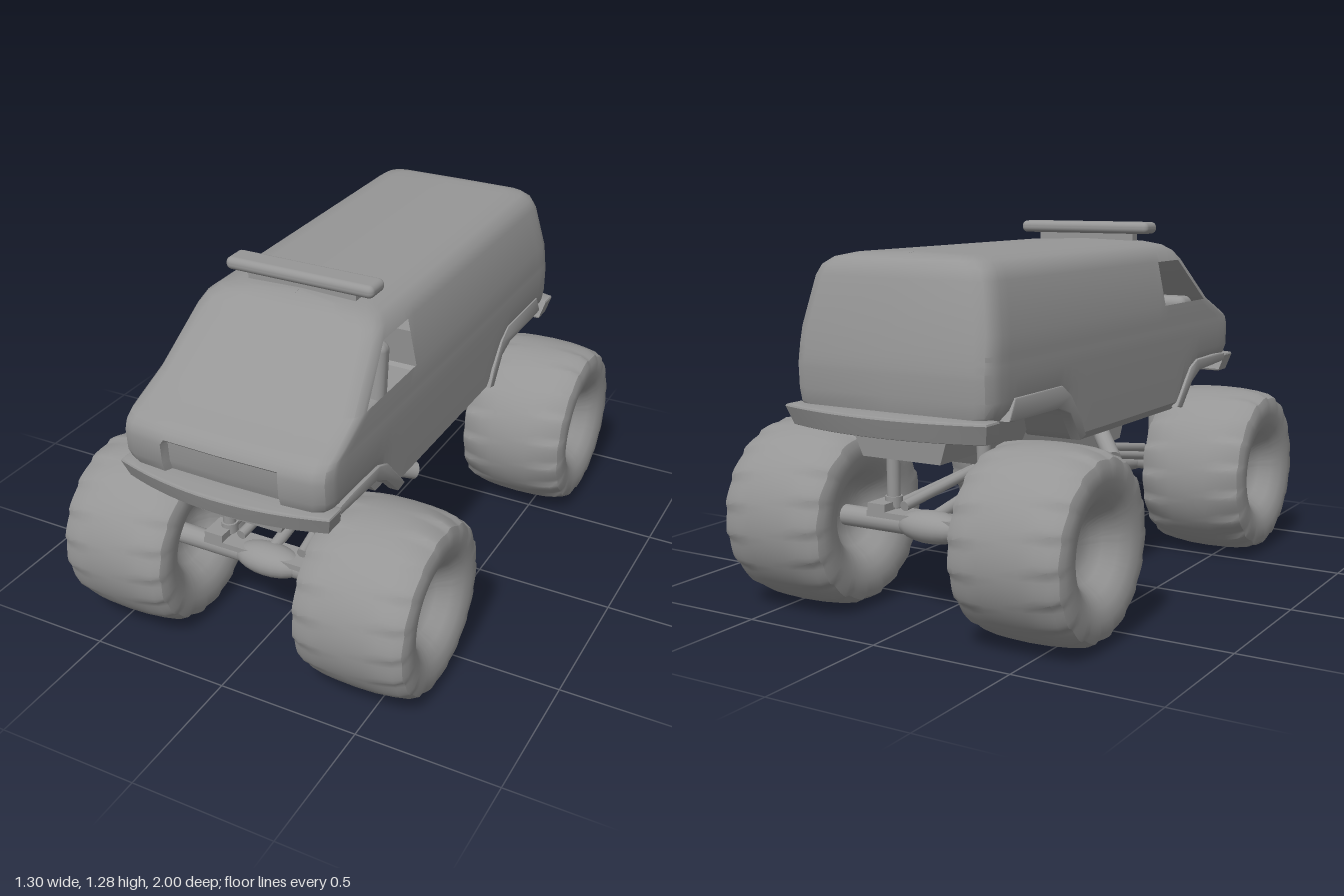
import * as THREE from 'three';
import { toCreasedNormals } from 'three/addons/utils/BufferGeometryUtils.js';
import { RoundedBoxGeometry } from 'three/addons/geometries/RoundedBoxGeometry.js';

const PAINT = 0x969696;
const grey = new THREE.MeshStandardMaterial({ color: PAINT });
const greyDouble = new THREE.MeshStandardMaterial({ color: PAINT, side: THREE.DoubleSide });
const V = (x, y, z) => new THREE.Vector3(x, y, z);
const shapeOf = points => new THREE.Shape(points.map(p => new THREE.Vector2(...p)));

function add(parent, name, geometry, x = 0, y = 0, z = 0, material = grey) {
  const mesh = new THREE.Mesh(geometry, material);
  mesh.name = name;
  mesh.position.set(x, y, z);
  parent.add(mesh);
  return mesh;
}

// Round bar between two points
function rod(parent, name, a, b, r, sides = 12) {
  const mesh = add(parent, name, new THREE.CylinderGeometry(r, r, a.distanceTo(b), sides));
  mesh.position.copy(a).add(b).multiplyScalar(0.5);
  mesh.quaternion.setFromUnitVectors(V(0, 1, 0), b.clone().sub(a).normalize());
  return mesh;
}

// Lower edge of the body along z, with the wheel arches cut in
const EDGE = [[-1, 0.7], [-0.8, 0.71], [-0.77, 0.73], [-0.48, 0.73], [-0.38, 0.65],
  [-0.32, 0.575], [0.45, 0.575], [0.55, 0.685], [0.62, 0.72], [0.78, 0.725], [1, 0.72]];
function lowerEdge(z) {
  const i = Math.max(1, EDGE.findIndex(p => p[0] >= z));
  const [z0, y0] = EDGE[i - 1], [z1, y1] = EDGE[i];
  return THREE.MathUtils.mapLinear(z, z0, z1, y0, y1);
}

// Body levels: [height, half width, front z, back z]; heights below 0.1 start at the lower edge
const LEVELS = [
  [0, 0, 0.925, -0.895], [0, 0.345, 0.93, -0.9], [0.03, 0.37, 0.94, -0.908],
  [0.78, 0.376, 0.95, -0.912], [0.85, 0.376, 0.955, -0.915], [0.868, 0.376, 0.952, -0.914],
  [0.89, 0.375, 0.943, -0.912], [0.905, 0.374, 0.925, -0.91], [0.92, 0.374, 0.89, -0.908],
  [0.98, 0.37, 0.755, -0.898], [1.14, 0.337, 0.58, -0.865], [1.175, 0.32, 0.542, -0.853],
  [1.198, 0.288, 0.51, -0.833], [1.212, 0.23, 0.465, -0.79], [1.219, 0, 0.44, -0.75]];
const WINDOW_LEVEL = 9, NOSE = 6, DOOR = 9, REAR = 24;

// One horizontal loop of the body
function bodyLoop([h, w, zf, zb]) {
  const half = [], c = Math.min(1, w * 4), a = Math.min(0.2, w * 0.6);
  half.push([0, zf], [a, zf - 0.004], [Math.min(a + 0.012, w), zf - 0.004],
    [w - 0.05 * c, zf - 0.012], [w - 0.015 * c, zf - 0.03], [w - 0.002 * c, zf - 0.06]);
  for (let i = 0; i <= DOOR; i++) half.push([w, THREE.MathUtils.lerp(zf - 0.085, 0.32, i / DOOR)]);
  for (let i = 1; i <= REAR; i++) half.push([w, THREE.MathUtils.lerp(0.32, zb + 0.075, i / REAR)]);
  half.push([w - 0.006 * c, zb + 0.04], [w - 0.022 * c, zb + 0.015], [w - 0.055 * c, zb + 0.003], [0, zb]);
  const mirrored = half.slice(1, -1).reverse().map(([x, z]) => [-x, z]);
  return half.concat(mirrored).map(([x, z]) => {
    const y = h < 0.1 ? lowerEdge(z) + h : h;
    const grille = z > 0.9 && Math.abs(x) <= 0.201 && h < 0.86;
    return [x, y, grille ? z - 0.025 : z];
  });
}

function bodyGeometry() {
  const loops = LEVELS.map(bodyLoop), n = loops[0].length, index = [];
  for (let j = 0; j < loops.length - 1; j++) {
    for (let i = 0; i < n; i++) {
      const k = i < n / 2 ? i : n - 1 - i;
      if (j === WINDOW_LEVEL && k >= NOSE && k < NOSE + DOOR) continue; // side windows
      const a = j * n + i, b = j * n + (i + 1) % n;
      index.push(a, b, b + n, a, b + n, a + n);
    }
  }
  const g = new THREE.BufferGeometry();
  g.setAttribute('position', new THREE.Float32BufferAttribute(loops.flat(2), 3));
  g.setIndex(index);
  return toCreasedNormals(g, 0.65);
}

// Fat tyre with a dished hub and staggered shoulder lugs
function wheelGeometry() {
  const side = [[0, 0.088], [0.05, 0.09], [0.085, 0.1], [0.115, 0.125], [0.145, 0.165], [0.18, 0.192],
    [0.22, 0.205], [0.265, 0.203], [0.288, 0.193], [0.303, 0.165], [0.311, 0.12], [0.314, 0.07]];
  const profile = side.map(([r, a]) => [r, -a]).concat([[0.316, 0]], side.slice().reverse());
  const g = new THREE.LatheGeometry(profile.map(p => new THREE.Vector2(...p)), 108);
  const p = g.attributes.position;
  for (let i = 0; i < p.count; i++) {
    const x = p.getX(i), y = p.getY(i), z = p.getZ(i), r = Math.hypot(x, z);
    if (r < 0.25) continue;
    const step = Math.round(Math.atan2(z, x) / (Math.PI * 2) * 108) + 216 + (y > 0 ? 3 : 0);
    const shoulder = THREE.MathUtils.clamp((Math.abs(y) - 0.07) / 0.09, 0, 1);
    const s = 1 - shoulder * [0, 0.003, 0.01, 0.018, 0.026, 0.03][step % 6];
    p.setXYZ(i, x * s, y, z * s);
  }
  g.deleteAttribute('normal');
  g.deleteAttribute('uv');
  return toCreasedNormals(g, 0.6).rotateZ(-Math.PI / 2);
}

// Bowed bumper, tapering toward its lower edge
function bumperGeometry() {
  const s = new THREE.Shape();
  s.moveTo(-0.375, 0.87).lineTo(0.375, 0.87).lineTo(0.375, 0.93);
  s.quadraticCurveTo(0, 1.054, -0.375, 0.93);
  const g = new THREE.ExtrudeGeometry(s, { depth: 0.055, bevelSize: 0.008, bevelThickness: 0.008,
    bevelSegments: 2, curveSegments: 16 }).rotateX(Math.PI / 2);
  const p = g.attributes.position;
  for (let i = 0; i < p.count; i++) if (p.getY(i) < -0.04) p.setXYZ(i, p.getX(i) * 0.96, p.getY(i), p.getZ(i) - 0.02);
  return toCreasedNormals(g, 0.6);
}

// Box narrowing downward
function taperedBox(w, h, d, k) {
  const g = new THREE.BoxGeometry(w, h, d), p = g.attributes.position;
  for (let i = 0; i < p.count; i++) if (p.getY(i) < 0) p.setXYZ(i, p.getX(i) * k, p.getY(i), p.getZ(i) * 0.92);
  g.computeVertexNormals();
  return g;
}

// Wheel arch flares as [z, y] outlines
const FLARES = {
  frontFlare: [[0.86, 0.742], [0.78, 0.747], [0.6, 0.745], [0.54, 0.72], [0.42, 0.59],
    [0.46, 0.585], [0.55, 0.675], [0.62, 0.71], [0.78, 0.718], [0.86, 0.722]],
  rearFlare: [[-0.32, 0.6], [-0.35, 0.66], [-0.42, 0.745], [-0.475, 0.78], [-0.765, 0.78], [-0.8, 0.72],
    [-0.77, 0.718], [-0.5, 0.718], [-0.42, 0.69], [-0.35, 0.592]] };

export function createModel() {
  const model = new THREE.Group();
  model.name = 'monsterVan';
  add(model, 'body', bodyGeometry(), 0, 0, 0, greyDouble);

  for (const [name, outline] of Object.entries(FLARES)) {
    const flare = toCreasedNormals(new THREE.ExtrudeGeometry(shapeOf(outline), { depth: 0.03, bevelSize: 0.005,
      bevelThickness: 0.006, bevelSegments: 2 }).rotateY(-Math.PI / 2), 0.7);
    for (const x of [0.376, -0.346]) add(model, name, flare, x);
  }

  // Bumpers
  add(model, 'frontBumper', bumperGeometry(), 0, 0.737, 0);
  add(model, 'rearBumper', bumperGeometry(), 0, 0.722, 0).rotation.y = Math.PI;

  // Roof light bar
  add(model, 'lightBar', new RoundedBoxGeometry(0.545, 0.044, 0.098, 4, 0.02), 0, 1.261, 0.4);
  add(model, 'lightBarMount', new THREE.BoxGeometry(0.4, 0.04, 0.04), 0, 1.225, 0.4);

  // Chassis pan
  const pan = shapeOf([[0.47, 0.59], [0.4, 0.45], [0.26, 0.44], [0.17, 0.345], [-0.14, 0.345],
    [-0.235, 0.445], [-0.49, 0.495], [-0.56, 0.59]]);
  const panGeometry = new THREE.ExtrudeGeometry(pan, { depth: 0.29, bevelEnabled: false });
  add(model, 'chassisPan', panGeometry.translate(0, 0, -0.145).rotateY(-Math.PI / 2));

  // Cabin
  add(model, 'dashboard', new RoundedBoxGeometry(0.64, 0.1, 0.1, 3, 0.03), 0, 0.94, 0.64);
  for (const s of [1, -1]) {
    add(model, 'seatBase', new RoundedBoxGeometry(0.2, 0.1, 0.22, 3, 0.03), s * 0.17, 0.8, 0.42);
    add(model, 'seatBack', new RoundedBoxGeometry(0.2, 0.28, 0.07, 3, 0.03), s * 0.17, 0.9, 0.34).rotation.x = -0.1;
    add(model, 'headrest', new RoundedBoxGeometry(0.13, 0.1, 0.08, 4, 0.035), s * 0.17, 1.085, 0.35);
  }
  add(model, 'steeringWheel', new THREE.TorusGeometry(0.055, 0.008, 8, 24), 0.17, 1.0, 0.59).rotation.x = -0.5;
  rod(model, 'steeringColumn', V(0.17, 1, 0.59), V(0.17, 0.95, 0.66), 0.01);

  // Wheels, axles and suspension at both ends
  const wheel = wheelGeometry();
  for (const e of [1, -1]) {
    const end = new THREE.Group();
    end.name = e > 0 ? 'frontAxleAssembly' : 'rearAxleAssembly';
    end.rotation.y = e > 0 ? 0 : Math.PI;
    model.add(end);
    add(end, 'underbodyTub', taperedBox(0.44, 0.19, 0.54, 0.68), 0, 0.66, 0.59);
    rod(end, 'axleTube', V(-0.36, 0.31, 0.672), V(0.36, 0.31, 0.672), 0.036, 16);
    add(end, 'differential', new THREE.SphereGeometry(0.055, 20, 14), 0, 0.312, 0.672).scale.set(2.4, 1, 1.2);
    add(end, 'axleTruss', new THREE.BoxGeometry(0.48, 0.02, 0.1), 0, 0.338, 0.66);
    for (const s of [1, -1]) {
      add(end, 'wheel', wheel, s * 0.445, 0.322, 0.672);
      add(end, 'axleBracket', new THREE.BoxGeometry(0.07, 0.045, 0.1), s * 0.2, 0.352, 0.66);
      rod(end, 'shock', V(s * 0.18, 0.34, 0.635), V(s * 0.18, 0.72, 0.635), 0.023, 16);
      rod(end, 'shockBase', V(s * 0.18, 0.355, 0.635), V(s * 0.18, 0.39, 0.635), 0.03, 16);
      rod(end, 'lowerLink', V(s * 0.2, 0.345, 0.62), V(s * 0.12, 0.42, 0.18), 0.016);
      rod(end, 'upperLink', V(s * 0.12, 0.365, 0.66), V(s * 0.08, 0.43, 0.25), 0.018);
    }
    rod(end, 'driveShaft', V(0, 0.34, 0.66), V(0, 0.42, 0.18), 0.022, 16);
  }

  // Side exhausts
  for (const s of [1, -1]) rod(model, 'exhaust', V(s * 0.13, 0.51, 0.255), V(s * 0.27, 0.43, 0.1), 0.032, 16);

  return model;
}
